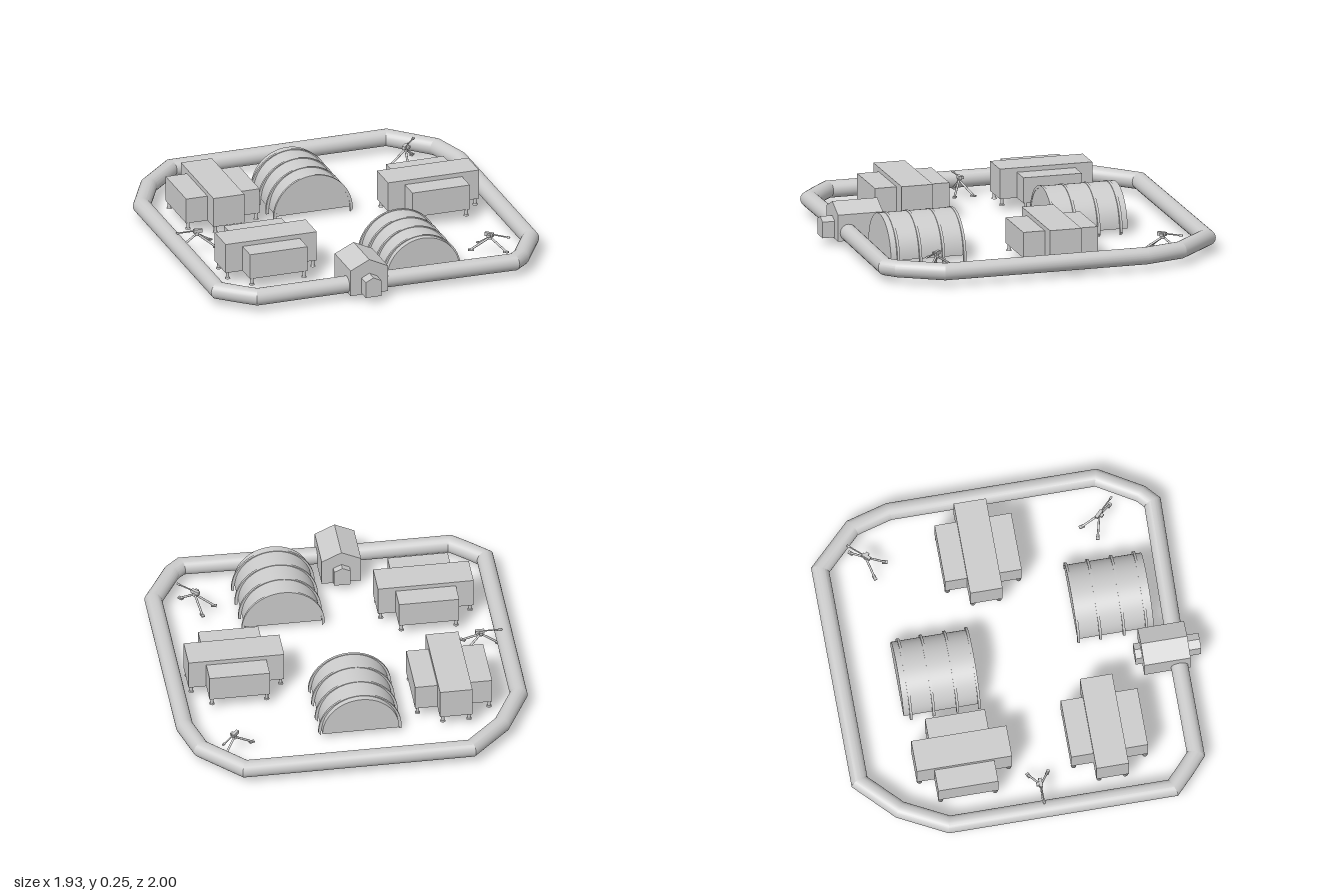
import * as THREE from 'three';
import { toCreasedNormals } from 'three/addons/utils/BufferGeometryUtils.js';

const material = new THREE.MeshStandardMaterial({ color: 0xcccccc });

function add(parent, name, geometry, x = 0, y = 0, z = 0) {
  const mesh = new THREE.Mesh(geometry, material);
  mesh.name = name;
  mesh.position.set(x, y, z);
  parent.add(mesh);
  return mesh;
}

function group(parent, name, x, z, angle = 0) {
  const g = new THREE.Group();
  g.name = name;
  g.position.set(x, 0, z);
  g.rotation.y = angle;
  parent.add(g);
  return g;
}

// Box given by its size and the heights of its bottom and top
const block = (parent, name, w, d, y0, y1, x = 0, z = 0) =>
  add(parent, name, new THREE.BoxGeometry(w, y1 - y0, d), x, (y0 + y1) / 2, z);

// Extrusion along z, centred on its own depth
function extrude(shape, depth) {
  const g = new THREE.ExtrudeGeometry(shape, { depth, bevelEnabled: false, curveSegments: 28 });
  g.translate(0, 0, -depth / 2);
  return toCreasedNormals(g, 0.4);
}

// Round rod between two points
function rod(parent, name, from, to, radius) {
  const a = new THREE.Vector3(...from), b = new THREE.Vector3(...to);
  const dir = b.clone().sub(a);
  const mesh = add(parent, name, new THREE.CylinderGeometry(radius, radius, dir.length(), 10));
  mesh.position.copy(a).add(b).multiplyScalar(0.5);
  mesh.quaternion.setFromUnitVectors(new THREE.Vector3(0, 1, 0), dir.normalize());
}

// Closed round tube with mitred corners
function wallGeometry(path, y, radius, sides) {
  const n = path.length, pos = [], index = [];
  const pts = path.map(([x, z]) => new THREE.Vector2(x, z));
  pts.forEach((p, i) => {
    const d0 = p.clone().sub(pts[(i + n - 1) % n]).normalize();
    const d1 = pts[(i + 1) % n].clone().sub(p).normalize();
    const d = d0.clone().add(d1).normalize();
    const mitre = radius / d.dot(d1);
    for (let j = 0; j < sides; j++) {
      const t = (j / sides) * Math.PI * 2, out = Math.cos(t) * mitre;
      pos.push(p.x + d.y * out, y + Math.sin(t) * radius, p.y - d.x * out);
      const k = (j + 1) % sides, r0 = i * sides, r1 = ((i + 1) % n) * sides;
      index.push(r0 + j, r0 + k, r1 + j, r0 + k, r1 + k, r1 + j);
    }
  });
  const g = new THREE.BufferGeometry();
  g.setAttribute('position', new THREE.Float32BufferAttribute(pos, 3));
  g.setIndex(index);
  return toCreasedNormals(g, 0.3);
}

// Half-round shelter with four hoops standing on the ground
function archTent(parent, x, z, angle) {
  const g = group(parent, 'archTent', x, z, angle);
  const half = new THREE.Shape();
  half.absarc(0, 0, 0.21, 0, Math.PI, false);
  half.closePath();
  add(g, 'tentShell', extrude(half, 0.42), 0, 0.032, 0);

  const outer = 0.228, inner = 0.213, rise = 0.017;
  const hoop = new THREE.Shape();
  hoop.moveTo(outer, 0);
  hoop.absarc(0, rise, outer, 0, Math.PI, false);
  hoop.lineTo(-outer, 0);
  hoop.lineTo(-inner, 0);
  hoop.absarc(0, rise, inner, Math.PI, 0, true);
  hoop.lineTo(inner, 0);
  const hoopGeometry = extrude(hoop, 0.014);
  for (const dz of [-0.17, -0.045, 0.085, 0.205]) add(g, 'tentHoop', hoopGeometry, 0, 0, dz);
}

// Cross-shaped cabin on short legs
function cabin(parent, x, z, angle) {
  const g = group(parent, 'cabin', x, z, angle);
  const floor = 0.072;
  block(g, 'cabinHall', 0.524, 0.178, floor, 0.24);
  for (const s of [-1, 1]) block(g, 'cabinWing', 0.33, 0.122, floor, 0.215, 0, s * 0.15);
  for (const sx of [-1, 1]) for (const sz of [-1, 1]) {
    for (const [lx, lz] of [[0.15, 0.196], [0.245, 0.072]]) {
      add(g, 'cabinLeg', new THREE.CylinderGeometry(0.009, 0.009, 0.04, 12), sx * lx, 0.054, sz * lz);
      add(g, 'cabinFoot', new THREE.CylinderGeometry(0.012, 0.015, 0.008, 12), sx * lx, 0.036, sz * lz);
    }
  }
}

// House outline: straight sides with a pitched top
function house(w, y0, eaves, peak) {
  return new THREE.Shape([
    [-w / 2, y0], [w / 2, y0], [w / 2, eaves], [0, peak], [-w / 2, eaves],
  ].map(([x, y]) => new THREE.Vector2(x, y)));
}

// Mounted barrel on a tripod, aiming along its own +x
function tripod(parent, x, z, angle) {
  const g = group(parent, 'tripod', x, z, angle);
  const hub = 0.108;
  for (const [fx, fz] of [[0.095, 0], [-0.09, 0.053], [-0.09, -0.053]]) {
    rod(g, 'tripodLeg', [0, hub, 0], [fx, 0.04, fz], 0.006);
    const foot = block(g, 'tripodFoot', 0.03, 0.018, 0.034, 0.042, fx, fz);
    foot.rotation.y = Math.atan2(-fz, fx);
  }
  add(g, 'tripodHub', new THREE.CylinderGeometry(0.012, 0.012, 0.02, 12), 0, hub, 0);
  block(g, 'mountBody', 0.05, 0.018, 0.114, 0.134, -0.005, 0);
  block(g, 'mountBox', 0.02, 0.016, 0.114, 0.128, 0, 0.016);
  rod(g, 'barrel', [0, 0.126, 0], [0.115, 0.126, 0], 0.004);
  rod(g, 'barrelTip', [0.098, 0.126, 0], [0.118, 0.126, 0], 0.006);
}

export function createModel() {
  const model = new THREE.Group();
  model.name = 'camp';

  // Perimeter wall
  add(model, 'perimeterWall', wallGeometry([
    [-0.92, -0.515], [-0.79, -0.765], [-0.595, -0.953], [0.645, -0.953], [0.855, -0.74],
    [0.914, -0.53], [0.914, 0.61], [0.78, 0.835], [0.72, 0.888], [-0.12, 0.87],
    [-0.75, 0.87], [-0.83, 0.80], [-0.92, 0.715],
  ], 0.078, 0.047, 24));

  // Gatehouse with a passage running through it
  const gate = group(model, 'gatehouse', -0.127, 0);
  add(gate, 'gateBody', extrude(house(0.216, 0.032, 0.18, 0.232), 0.255), 0, 0, 0.804);
  add(gate, 'gatePassage', extrude(house(0.09, 0.04, 0.13, 0.152), 0.36), 0, 0, 0.82);

  archTent(model, -0.035, -0.44, 0);
  archTent(model, 0.24, 0.565, Math.PI);

  cabin(model, -0.558, -0.385, Math.PI / 2);
  cabin(model, 0.578, -0.096, 0);
  cabin(model, -0.535, 0.404, 0);

  tripod(model, 0.665, -0.7, 0.85);
  tripod(model, -0.79, 0.01, Math.PI);
  tripod(model, 0.69, 0.59, -0.78);

  return model;
}
